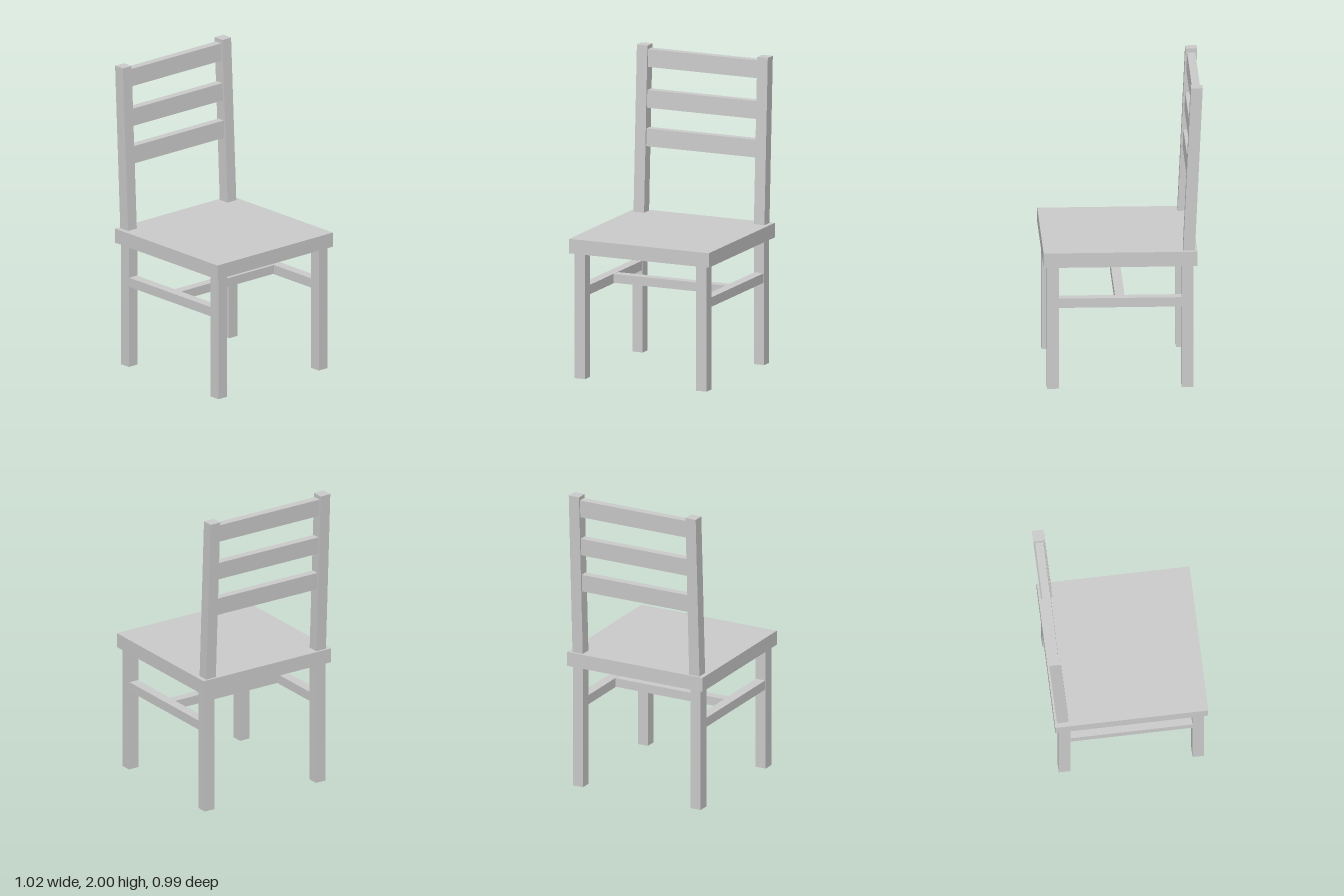
import * as THREE from 'three';

const material = new THREE.MeshStandardMaterial({ color: 0xcccccc, flatShading: true });

// Box given by its minimum and maximum corners
function box(name, [x0, y0, z0], [x1, y1, z1]) {
  const mesh = new THREE.Mesh(new THREE.BoxGeometry(x1 - x0, y1 - y0, z1 - z0), material);
  mesh.position.set((x0 + x1) / 2, (y0 + y1) / 2, (z0 + z1) / 2);
  mesh.name = name;
  return mesh;
}

// Centre line of the backrest, leaning towards -x as it rises
const leanX = (y) => -0.4225 - 0.0461 * (y - 0.915);

// Bar that follows the lean between two heights, with level ends
function leaningBar(name, y0, y1, thickness, width, z) {
  const h = thickness / 2;
  const side = new THREE.Shape([
    new THREE.Vector2(leanX(y0) - h, y0),
    new THREE.Vector2(leanX(y0) + h, y0),
    new THREE.Vector2(leanX(y1) + h, y1),
    new THREE.Vector2(leanX(y1) - h, y1),
  ]);
  const geometry = new THREE.ExtrudeGeometry(side, { depth: width, bevelEnabled: false });
  geometry.translate(0, 0, z - width / 2);
  const mesh = new THREE.Mesh(geometry, material);
  mesh.name = name;
  return mesh;
}

export function createModel() {
  const chair = new THREE.Group();
  chair.name = 'chair';

  chair.add(box('seat', [-0.475, 0.82, -0.494], [0.51, 0.915, 0.494]));

  for (const s of [-1, 1]) {
    const z = s * 0.43;
    // Legs, with a stretcher joining each front and back pair
    chair.add(box('backLeg', [-0.45, 0, z - 0.0365], [-0.375, 0.82, z + 0.0365]));
    chair.add(box('frontLeg', [0.412, 0, z - 0.0365], [0.487, 0.82, z + 0.0365]));
    chair.add(box('sideStretcher', [-0.375, 0.54, z - 0.033], [0.412, 0.602, z + 0.033]));
    // Leaning backrest posts
    chair.add(leaningBar('backPost', 0.915, 2, 0.075, 0.075, s * 0.426));
  }

  // Bar joining the two side stretchers
  chair.add(box('crossStretcher', [-0.012, 0.543, -0.397], [0.05, 0.601, 0.397]));

  // Backrest slats
  for (const y of [1.345, 1.595, 1.86]) {
    chair.add(leaningBar('backSlat', y, y + 0.115, 0.052, 0.777, 0));
  }
  return chair;
}
